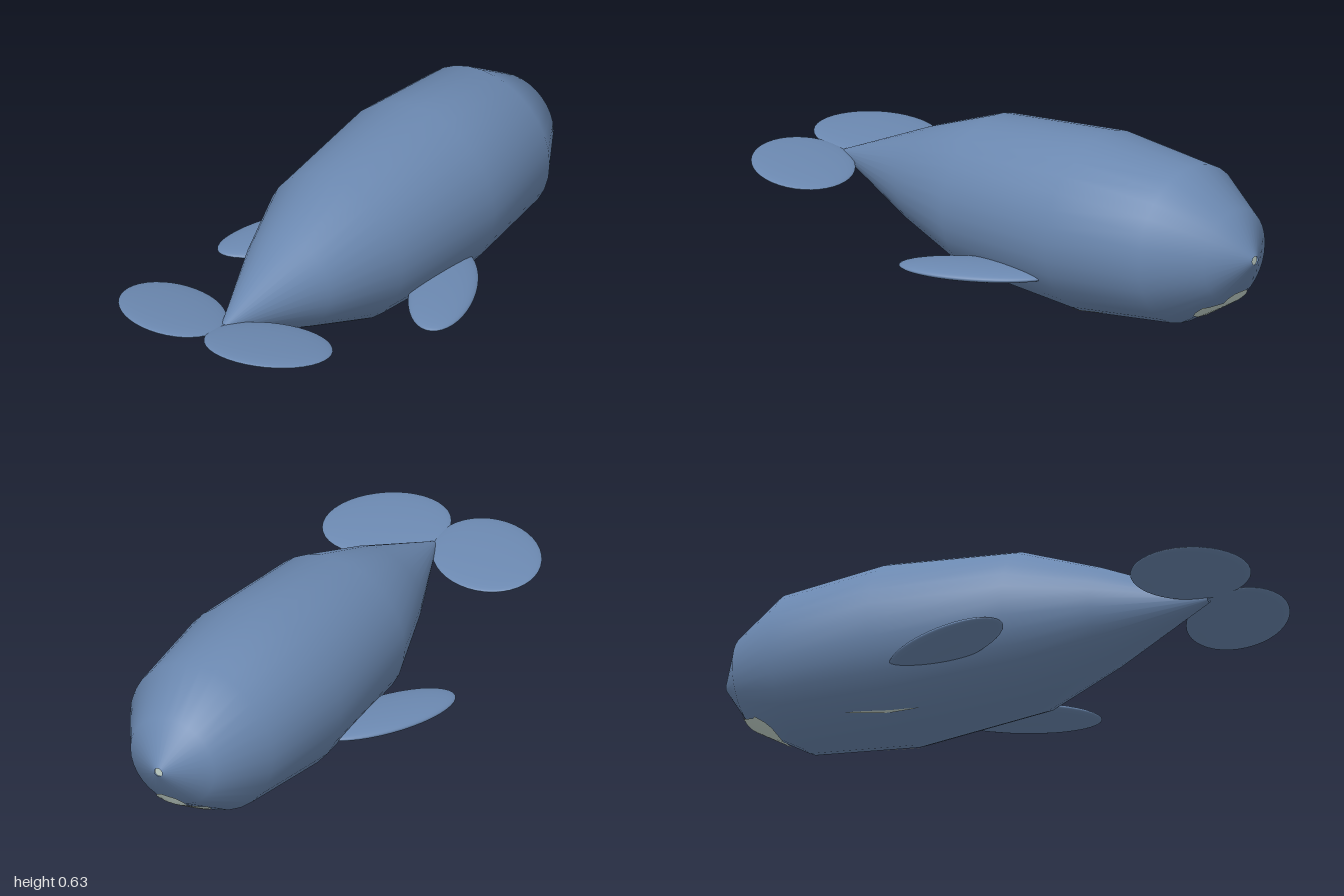
import * as THREE from 'three';

const AXIS_Y = 0.317, WIDE = 1.03;
// body profile: [x, radius] from tail to snout
const PROFILE = [[-0.79, 0.012], [-0.42, 0.173], [-0.14, 0.275], [0.34, 0.315], [0.72, 0.277], [0.91, 0.162], [1, 0.015]];

// x on the front half of the body at a given radius
function frontX(r) {
  for (let i = 3; i < PROFILE.length - 1; i++) {
    const [x0, r0] = PROFILE[i], [x1, r1] = PROFILE[i + 1];
    if (r >= r1) return x0 + (x1 - x0) * (r0 - r) / (r0 - r1);
  }
  return 1;
}

// body radius at a given x
function radiusAt(x) {
  const i = PROFILE.findIndex((p) => p[0] > x);
  const [x0, r0] = PROFILE[i - 1], [x1, r1] = PROFILE[i];
  return r0 + (r1 - r0) * (x - x0) / (x1 - x0);
}

function surface(positions, index) {
  const g = new THREE.BufferGeometry();
  g.setAttribute('position', new THREE.Float32BufferAttribute(positions, 3));
  g.setIndex(index);
  g.computeVertexNormals();
  return g;
}

// pale chin patch: rings of one outline laid on the body surface
function chinGeometry() {
  const half = [[0, 0.197], [0.03, 0.195], [0.055, 0.18], [0.062, 0.165], [0.088, 0.147], [0.103, 0.146],
    [0.1, 0.12], [0.085, 0.1], [0.05, 0.085], [0, 0.08]];
  const outline = [...half, ...half.slice(1, -1).reverse().map(([z, y]) => [-z, y])];
  const n = outline.length, rings = 6, cy = 0.138, pos = [], index = [];
  for (let k = 0; k <= rings; k++) {
    for (const [oz, oy] of outline) {
      const z = oz * k / rings, y = cy + (oy - cy) * k / rings;
      const x = frontX(Math.hypot(y - AXIS_Y, z / WIDE));
      pos.push(x + 0.004, y - 0.004, z);
    }
  }
  for (let k = 0; k < rings; k++) {
    for (let i = 0; i < n; i++) {
      const a = k * n + i, b = k * n + (i + 1) % n;
      index.push(a, a + n, b, b, a + n, b + n);
    }
  }
  return surface(pos, index);
}

// thin pale crease under the belly
function creaseGeometry(side) {
  const pos = [], index = [], n = 8;
  for (let i = 0; i <= n; i++) {
    const t = i / n, x = 0.22 + 0.28 * t, r = radiusAt(x) + 0.003;
    const mid = 0.46 + 0.11 * t, w = 0.018 * Math.sin(Math.PI * t);
    for (const a of [mid - w, mid + w]) pos.push(x, AXIS_Y - r * Math.cos(a), side * r * WIDE * Math.sin(a));
    if (i < n) index.push(2 * i, 2 * i + 1, 2 * i + 2, 2 * i + 1, 2 * i + 3, 2 * i + 2);
  }
  return surface(pos, index);
}

export function createModel() {
  const root = new THREE.Group();
  root.name = 'whale';
  const skin = new THREE.MeshStandardMaterial({ color: 0x6b88b0, side: THREE.DoubleSide });
  skin.name = 'slateBlue';
  const pale = new THREE.MeshStandardMaterial({ color: 0xc4d4cc, side: THREE.DoubleSide });
  pale.name = 'paleGrey';

  const add = (name, geometry, material, parent = root) => {
    const mesh = new THREE.Mesh(geometry, material);
    mesh.name = name;
    parent.add(mesh);
    return mesh;
  };

  // body turned around the long axis
  const bodyGeo = new THREE.LatheGeometry(PROFILE.map(([x, r]) => new THREE.Vector2(r, x)), 32);
  bodyGeo.rotateZ(-Math.PI / 2);
  bodyGeo.scale(1, 1, WIDE);
  add('body', bodyGeo, skin).position.y = AXIS_Y;

  // pale details
  add('chinPatch', chinGeometry(), pale);
  const tip = add('snoutTip', new THREE.CircleGeometry(0.016, 20), pale);
  tip.rotation.y = Math.PI / 2;
  tip.position.set(0.996, AXIS_Y, 0);

  // flattened ellipsoid fins, mirrored
  const ball = new THREE.SphereGeometry(1, 40, 24);
  for (const side of [1, -1]) {
    const label = side > 0 ? 'Front' : 'Back';
    add('bellyCrease' + label, creaseGeometry(side), pale);

    const flipper = add('flipper' + label, ball, skin);
    flipper.scale.set(0.274, 0.025, 0.114);
    flipper.rotation.y = side * 0.468;
    flipper.position.set(0.047, 0.165, side * 0.32);

    const tilt = new THREE.Group();
    tilt.name = 'fluke' + label;
    tilt.position.set(-0.81, 0.326, side * 0.2);
    tilt.rotation.z = -0.13;
    root.add(tilt);
    const lobe = add('flukeLobe' + label, ball, skin, tilt);
    lobe.scale.set(0.221, 0.018, 0.178);
    lobe.rotation.y = -side * 1.03;
  }
  return root;
}
